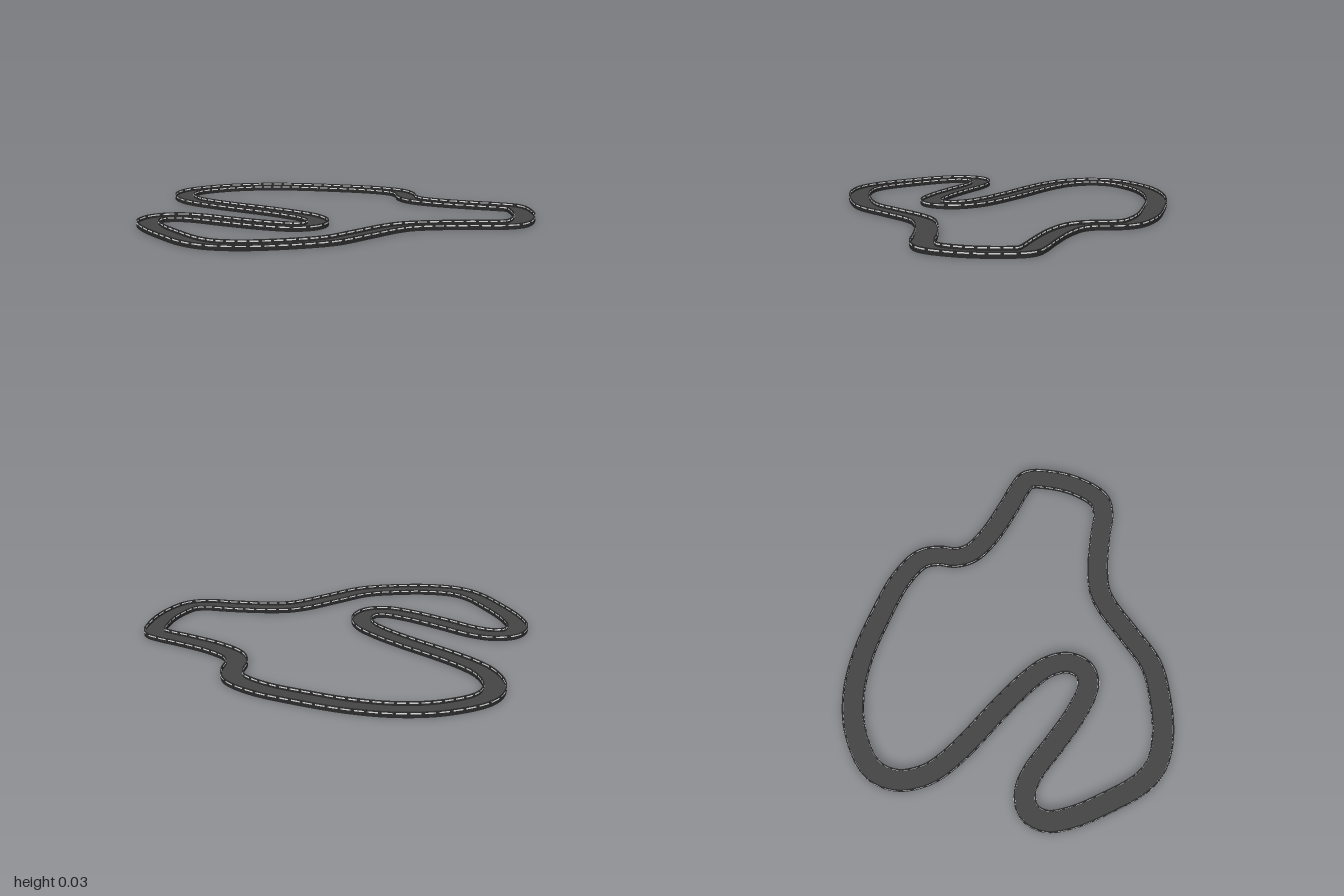
import * as THREE from 'three';
import { mergeGeometries } from 'three/addons/utils/BufferGeometryUtils.js';

// Centre line of the circuit as x, z pairs
const LINE = [
  -0.943, 0, -0.9, -0.2, -0.8, -0.37, -0.65, -0.52, -0.45, -0.66, -0.25, -0.775, -0.09, -0.815,
  0.0, -0.78, 0.075, -0.715, 0.16, -0.69, 0.3, -0.72, 0.5, -0.81, 0.6, -0.862, 0.68, -0.887,
  0.79, -0.81, 0.885, -0.69, 0.935, -0.55, 0.9, -0.465, 0.8, -0.36, 0.68, -0.22, 0.605, -0.1,
  0.583, 0, 0.58, 0.2, 0.572, 0.4, 0.5, 0.57, 0.38, 0.75, 0.26, 0.85, 0.14, 0.88,
  -0.05, 0.862, -0.25, 0.82, -0.37, 0.76, -0.412, 0.67, -0.37, 0.58, -0.28, 0.52, -0.1, 0.46,
  0.1, 0.385, 0.23, 0.305, 0.263, 0.225, 0.22, 0.14, 0.12, 0.098, 0, 0.1, -0.2, 0.135,
  -0.45, 0.195, -0.6, 0.22, -0.72, 0.22, -0.85, 0.17, -0.92, 0.09,
];
const SEGMENTS = 480;
const HALF = 0.056;   // half of the full track width
const WALL = 0.006;   // barrier thickness

export function createModel() {
  const group = new THREE.Group();
  group.name = 'raceTrack';
  const asphalt = new THREE.MeshStandardMaterial({ name: 'asphalt grey', color: 0x444444 });
  const dark = new THREE.MeshStandardMaterial({ name: 'barrier black', color: 0x2a2a2a });
  const light = new THREE.MeshStandardMaterial({ name: 'rail light grey', color: 0xd8d8d8 });

  const points = [];
  for (let i = 0; i < LINE.length; i += 2) points.push(new THREE.Vector3(LINE[i], 0, LINE[i + 1]));
  const curve = new THREE.CatmullRomCurve3(points, true, 'centripetal');
  curve.arcLengthDivisions = 1500;

  // Evenly spaced frames: position and sideways direction
  const up = new THREE.Vector3(0, 1, 0);
  const frames = [];
  for (let i = 0; i < SEGMENTS; i++) {
    const u = i / SEGMENTS;
    frames.push({ p: curve.getPointAt(u), s: curve.getTangentAt(u).cross(up).normalize() });
  }

  // Sweep a rectangle (sideways range, height range) along part of the circuit
  function sweep(o0, o1, y0, y1, from = 0, to = SEGMENTS) {
    const section = [[o0, y0], [o1, y0], [o1, y1], [o0, y1]];
    const pos = [];
    const at = (i, j) => {
      const { p, s } = frames[i % SEGMENTS];
      const [o, y] = section[j % 4];
      return [p.x + s.x * o, y, p.z + s.z * o];
    };
    for (let i = from; i < to; i++) {
      for (let j = 0; j < 4; j++) {
        const a = at(i, j), b = at(i, j + 1), c = at(i + 1, j + 1), d = at(i + 1, j);
        pos.push(...a, ...c, ...b, ...a, ...d, ...c);
      }
    }
    const geo = new THREE.BufferGeometry();
    geo.setAttribute('position', new THREE.Float32BufferAttribute(pos, 3));
    geo.computeVertexNormals();
    return geo;
  }

  function add(name, geo, material) {
    const mesh = new THREE.Mesh(geo, material);
    mesh.name = name;
    group.add(mesh);
  }

  // Road slab
  add('roadSurface', sweep(-HALF + 0.001, HALF - 0.001, 0.001, 0.008), asphalt);
  add('roadBase', sweep(-HALF, HALF, 0, 0.004), dark);

  // Barriers along both edges, each with a broken light rail on both faces
  for (const side of [-1, 1]) {
    const name = side < 0 ? 'outer' : 'inner';
    const mid = side * (HALF - WALL / 2);
    const h = WALL / 2;
    add(name + 'Barrier', sweep(mid - h, mid + h, 0, 0.03), dark);
    const dashes = [];
    for (let i = 0; i < SEGMENTS; i += 4) {
      dashes.push(sweep(mid - h - 0.0008, mid + h + 0.0008, 0.019, 0.025, i, i + 3));
    }
    add(name + 'RailPanels', mergeGeometries(dashes), light);
  }

  return group;
}
